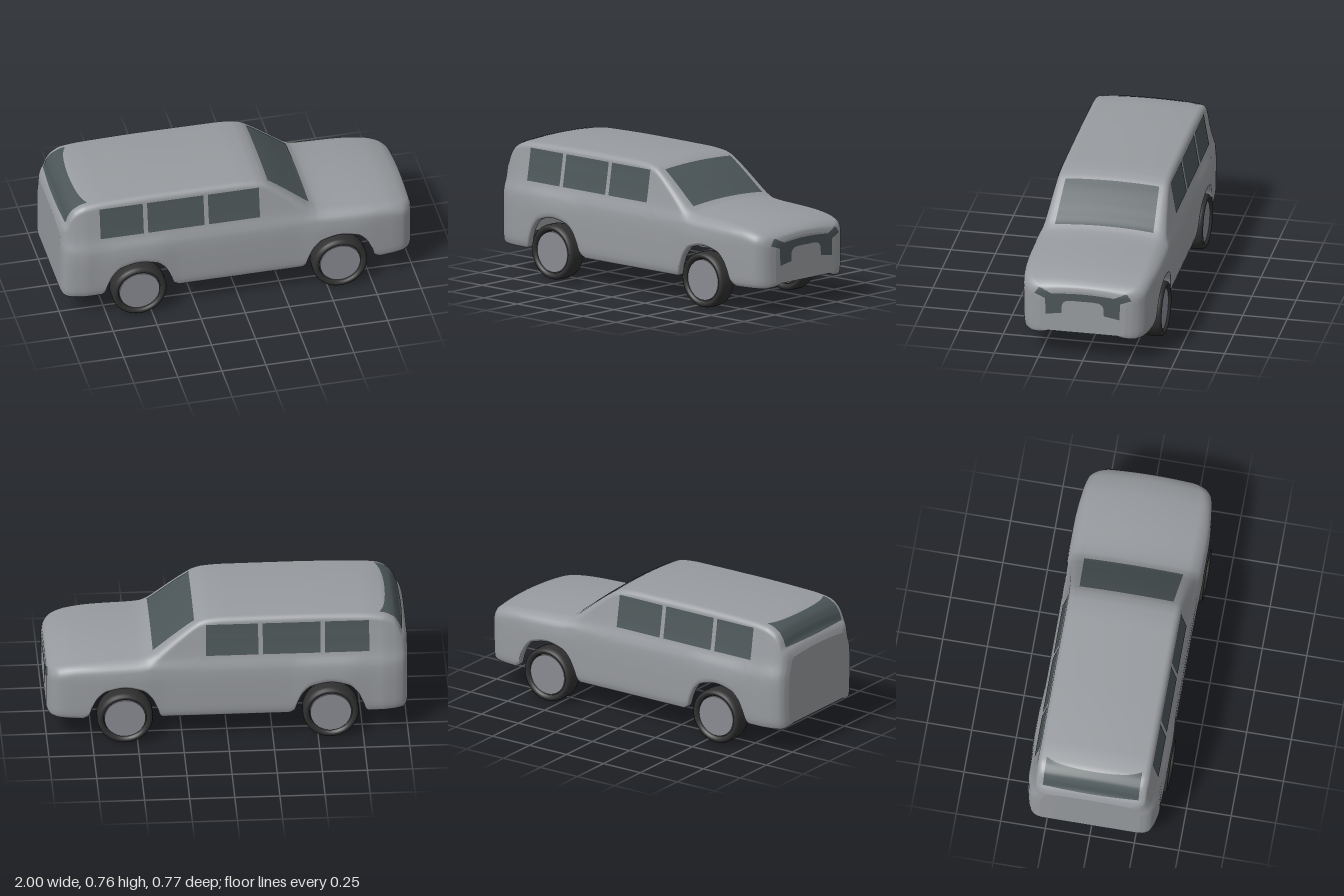
import * as THREE from 'three';

// Monotone smooth curve through [x, y] knots
function curve(p) {
  const n = p.length;
  const s = p.slice(1).map((q, i) => (q[1] - p[i][1]) / (q[0] - p[i][0]));
  const m = p.map((_, i) => {
    if (i === 0) return s[0];
    if (i === n - 1) return s[n - 2];
    const a = s[i - 1], b = s[i];
    return a * b <= 0 ? 0 : (2 * a * b) / (a + b);
  });
  return (x) => {
    if (x <= p[0][0]) return p[0][1];
    if (x >= p[n - 1][0]) return p[n - 1][1];
    let i = 0;
    while (x > p[i + 1][0]) i++;
    const h = p[i + 1][0] - p[i][0], t = (x - p[i][0]) / h, t2 = t * t, t3 = t2 * t;
    return (2 * t3 - 3 * t2 + 1) * p[i][1] + (t3 - 2 * t2 + t) * h * m[i]
      + (3 * t2 - 2 * t3) * p[i + 1][1] + (t3 - t2) * h * m[i + 1];
  };
}

// Centre line of tailgate, roof, windscreen and bonnet
const top = curve([[-1, 0.57], [-0.985, 0.605], [-0.965, 0.63], [-0.95, 0.67], [-0.92, 0.71],
  [-0.86, 0.738], [-0.75, 0.75], [-0.4, 0.757], [0, 0.755], [0.1, 0.748], [0.15, 0.735],
  [0.2, 0.705], [0.3, 0.632], [0.36, 0.585], [0.41, 0.548], [0.45, 0.53], [0.5, 0.523],
  [0.7, 0.512], [0.85, 0.497], [0.94, 0.475], [0.98, 0.455], [0.995, 0.44], [1, 0.42]]);
// Half width by height, and how far it draws in at the ends
const width = curve([[0.15, 0.36], [0.2, 0.368], [0.38, 0.371], [0.46, 0.366], [0.5, 0.351],
  [0.56, 0.338], [0.62, 0.328], [0.68, 0.318], [0.76, 0.308]]);
const inset = curve([[-1, 0.09], [-0.99, 0.055], [-0.97, 0.03], [-0.92, 0.01], [-0.85, 0],
  [0.75, 0], [0.85, 0.008], [0.93, 0.025], [0.97, 0.055], [0.99, 0.09], [1, 0.13]]);
const edgeRadius = curve([[0.2, 0.032], [0.45, 0.055]]);
const crown = curve([[0.2, 0.012], [0.5, 0.018]]);
// Lower edge with wheel arches
const arch = curve([[-0.21, 0.15], [-0.195, 0.162], [-0.183, 0.2], [-0.15, 0.275], [-0.1, 0.325],
  [0, 0.348], [0.1, 0.328], [0.15, 0.285], [0.18, 0.225], [0.2, 0.17], [0.23, 0.15]]);
const endLift = curve([[0.975, 0.15], [0.99, 0.155], [1, 0.17]]);
const AXLE = 0.57;
const bottom = (x) => Math.max(arch(x - AXLE), arch(x + AXLE), endLift(Math.abs(x)));

const edgeY = (x) => top(x) - crown(x);
function halfWidth(x, y) {
  const flare = 0.01 * Math.exp(-(((Math.abs(x) - AXLE) / 0.18) ** 4)) * Math.exp(-(((y - 0.33) / 0.15) ** 4));
  const r = edgeRadius(x), k = Math.min(1, Math.max(0, (y - edgeY(x) + r) / r));
  return width(y) + flare - inset(x) - r * (1 - Math.sqrt(1 - k * k));
}
function roofY(x, z) {
  const ze = halfWidth(x, edgeY(x));
  return top(x) - crown(x) * Math.min(1, (z / ze) ** 2);
}
const inside = (x, y, z) => (y <= edgeY(x) ? Math.abs(z) <= halfWidth(x, y) : y <= roofY(x, z) && Math.abs(z) <= halfWidth(x, edgeY(x)));
// x of the nose (sign 1) or tail (sign -1) at a given height and offset
function endX(sign, y, z) {
  if (inside(sign, y, z)) return sign;
  let lo = 0.6, hi = 1;
  for (let i = 0; i < 24; i++) {
    const mid = (lo + hi) / 2;
    if (inside(sign * mid, y, z)) lo = mid; else hi = mid;
  }
  return sign * lo;
}

// Smooth sheet from equal rows of [x, y, z] points
function sheet(rows) {
  const n = rows[0].length, index = [];
  for (let i = 0; i < rows.length - 1; i++) {
    for (let j = 0; j < n - 1; j++) {
      const a = i * n + j, b = a + n;
      index.push(a, a + 1, b, b, a + 1, b + 1);
    }
  }
  const g = new THREE.BufferGeometry();
  g.setAttribute('position', new THREE.Float32BufferAttribute(rows.flat(2), 3));
  g.setIndex(index);
  g.computeVertexNormals();
  return g;
}
const grid = (nu, nv, fn) => Array.from({ length: nu + 1 }, (_, i) =>
  Array.from({ length: nv + 1 }, (_, j) => fn(i / nu, j / nv)));
const mix = THREE.MathUtils.lerp;

// One cross-section, from one sill over the roof to the other
function section(x) {
  const b = bottom(x), e = edgeY(x), r = edgeRadius(x), half = [];
  const w0 = halfWidth(x, b + 0.012);
  half.push([x, b, w0 - 0.04], [x, b, w0 - 0.01]);
  for (let i = 0; i <= 18; i++) {
    const y = mix(b + 0.012, e - r, i / 18);
    half.push([x, y, halfWidth(x, y)]);
  }
  for (let i = 1; i <= 7; i++) {
    const y = e - r + r * Math.sin((i / 7) * Math.PI / 2);
    half.push([x, y, halfWidth(x, y)]);
  }
  const ze = half[half.length - 1][2];
  for (let i = 1; i <= 7; i++) {
    const z = ze * (1 - i / 7);
    half.push([x, roofY(x, z), z]);
  }
  const other = half.slice(0, -1).reverse().map(([px, y, z]) => [px, y, -z]);
  return [...half, ...other];
}

export function createModel() {
  const model = new THREE.Group();
  model.name = 'car';
  const material = (name, color, side = THREE.FrontSide) => {
    const m = new THREE.MeshStandardMaterial({ color, side });
    m.name = name;
    return m;
  };
  const paint = material('silver paint', 0x989b9f, THREE.DoubleSide);
  const glass = material('dark glass', 0x4c5658, THREE.DoubleSide);
  const rubber = material('tyre rubber', 0x303030);
  const metal = material('wheel metal', 0x888b92);
  const add = (name, geometry, mat, parent = model) => {
    const mesh = new THREE.Mesh(geometry, mat);
    mesh.name = name;
    parent.add(mesh);
    return mesh;
  };

  // Body shell, open underneath, closed at nose and tail
  const xs = [];
  for (let i = 0; i <= 300; i++) xs.push(-1 + i / 150);
  for (const d of [0.0007, 0.002, 0.004, 0.009]) xs.push(1 - d, d - 1);
  xs.sort((a, b) => a - b);
  const rows = xs.map(section);
  const closing = (row) => [0.66, 0.33, 0].map((k) => row.map(([x, y, z]) => [x, y, z * k]));
  add('bodyShell', sheet([...closing(rows[0]).reverse(), ...rows, ...closing(rows[rows.length - 1])]), paint);

  // Glass is laid just outside and just inside the shell
  for (const [face, off] of [['Outer', 0.003], ['Inner', -0.003]]) {
    for (const side of [1, -1]) {
      [[-0.785, -0.54], [-0.515, -0.195], [-0.17, 0.12]].forEach(([a, b], i) => {
        add(`sideWindow${i + 1}${face}`, sheet(grid(24, 14, (u, v) => {
          const x = mix(a, b, u), y = mix(0.527, 0.708, v);
          return [x, y, side * (halfWidth(x, y) + off)];
        })), glass);
      });
    }
    add(`windscreen${face}`, sheet(grid(30, 16, (u, v) => {
      const x = mix(0.18, 0.41, u), z = mix(-1, 1, v) * mix(0.264, 0.278, u);
      return [x + off * 0.6, roofY(x, z) + off * 0.9, z];
    })), glass);
    add(`rearWindow${face}`, sheet(grid(24, 20, (u, v) => {
      const y = mix(0.615, 0.73, u), z = mix(-0.268, 0.268, v);
      return [endX(-1, y, z) - off, y + off * 0.5, z];
    })), glass);

    // Grille with lamps: [z, low y, high y]
    const grille = [[0, 0.363, 0.407], [0.06, 0.363, 0.406], [0.09, 0.36, 0.404], [0.108, 0.35, 0.403],
      [0.117, 0.335, 0.402], [0.12, 0.285, 0.402], [0.15, 0.28, 0.4], [0.175, 0.276, 0.397],
      [0.208, 0.27, 0.412], [0.212, 0.367, 0.413], [0.235, 0.376, 0.425], [0.25, 0.381, 0.424], [0.274, 0.389, 0.39]];
    for (const side of [1, -1]) {
      add(`grille${face}`, sheet(grille.map(([z, lo, hi]) => Array.from({ length: 9 }, (_, j) => {
        const y = mix(lo, hi, j / 8);
        return [endX(1, y, z) + off, y, side * z];
      }))), glass);
    }
  }

  // Wheels: rounded tyre ring with a hub standing just clear of it
  const tyreProfile = [[0.118, -0.04], [0.124, -0.05], [0.134, -0.055], [0.143, -0.053], [0.151, -0.045], [0.155, -0.03],
    [0.156, 0], [0.155, 0.03], [0.151, 0.045], [0.143, 0.053], [0.134, 0.055], [0.124, 0.05], [0.118, 0.04], [0.118, -0.04]];
  const tyre = new THREE.LatheGeometry(tyreProfile.map(([r, h]) => new THREE.Vector2(r, h)), 56).rotateX(Math.PI / 2);
  const hub = new THREE.CylinderGeometry(0.114, 0.114, 0.084, 48).rotateX(Math.PI / 2);
  for (const x of [AXLE, -AXLE]) {
    for (const z of [0.33, -0.33]) {
      const wheel = new THREE.Group();
      wheel.name = `${x > 0 ? 'front' : 'rear'}Wheel`;
      wheel.position.set(x, 0.156, z);
      add('tyre', tyre, rubber, wheel);
      add('hub', hub, metal, wheel);
      model.add(wheel);
    }
  }
  return model;
}
